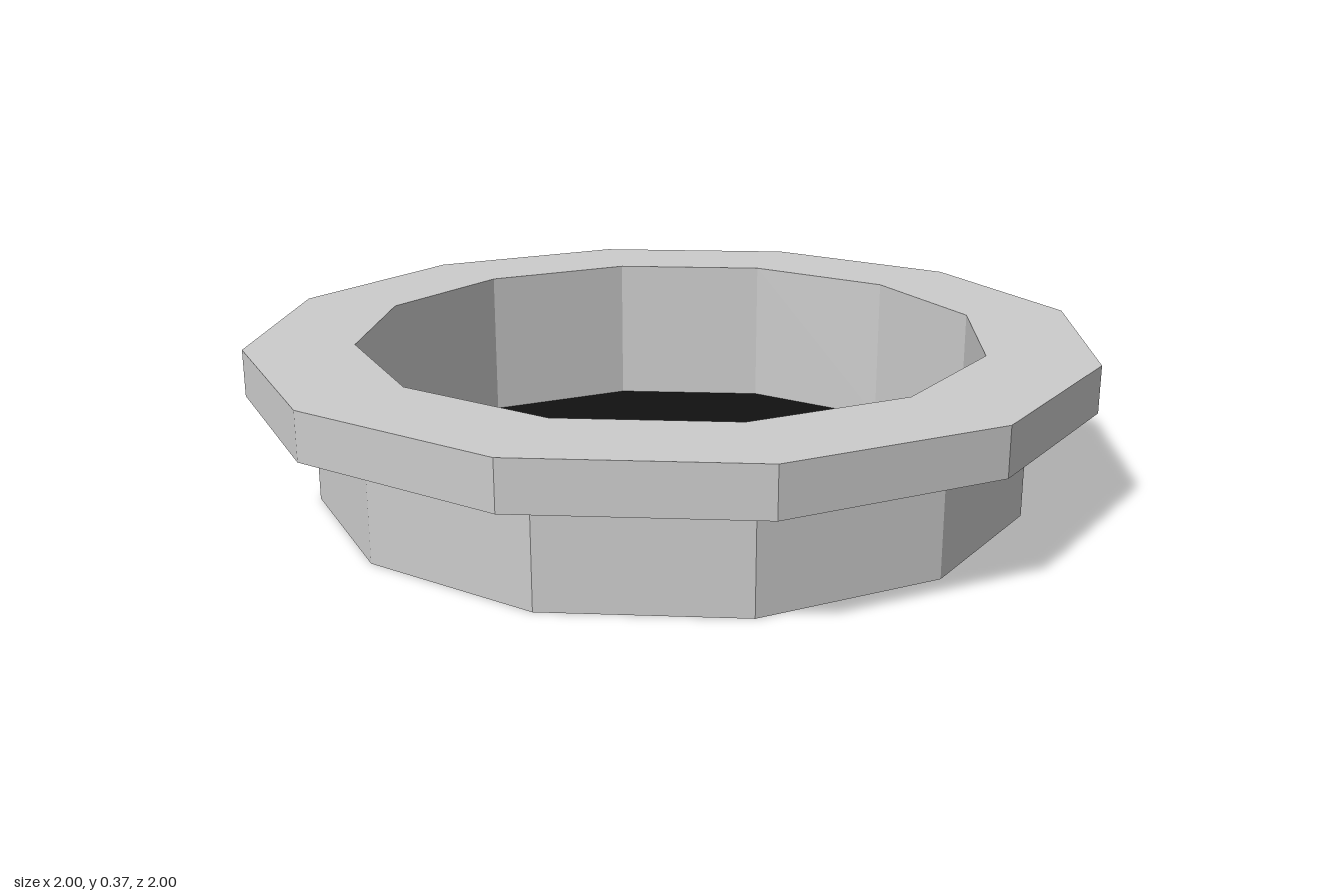
import * as THREE from 'three';

const SIDES = 12;
const INNER = 0.747, BODY = 0.848, RIM = 1;
const HEIGHT = 0.372, RIM_BASE = 0.262;

export function createModel() {
  const model = new THREE.Group();
  model.name = 'flangedRing';

  // Hollow collar with a wider rim on top, as one closed profile
  const profile = [
    [INNER, 0], [BODY, 0], [BODY, RIM_BASE], [RIM, RIM_BASE],
    [RIM, HEIGHT], [INNER, HEIGHT], [INNER, 0],
  ].map(([r, y]) => new THREE.Vector2(r, y));
  const collar = new THREE.Mesh(
    new THREE.LatheGeometry(profile, SIDES),
    new THREE.MeshStandardMaterial({ color: 0xcccccc, flatShading: true })
  );
  collar.name = 'collar';
  model.add(collar);

  // Thin dark floor closing the opening, flush with the underside
  const floor = new THREE.Mesh(
    new THREE.CircleGeometry(INNER, SIDES).rotateX(-Math.PI / 2),
    new THREE.MeshStandardMaterial({ color: 0x111111, side: THREE.DoubleSide })
  );
  floor.name = 'floor';
  model.add(floor);

  return model;
}
